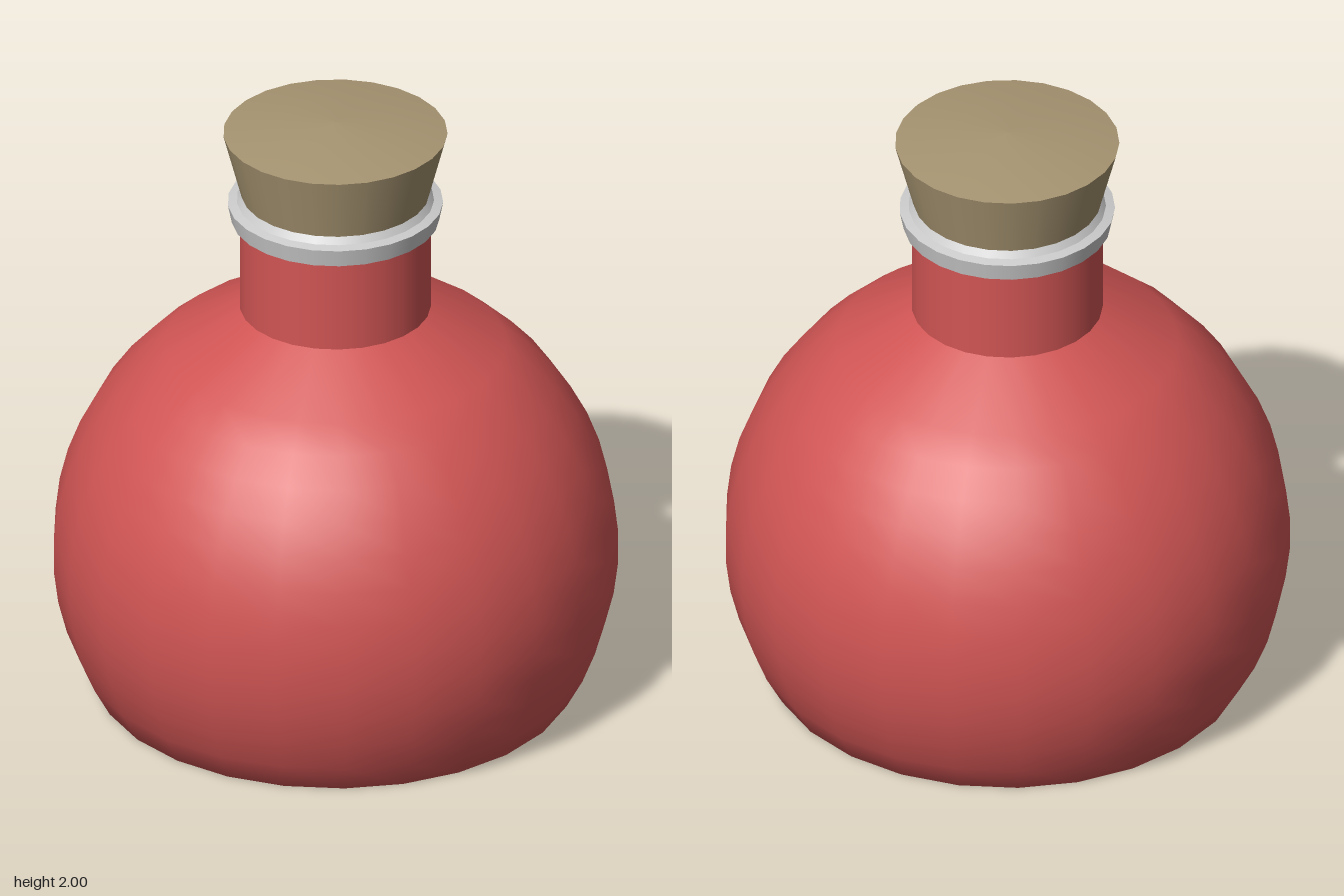
import * as THREE from 'three';

const SIDES = 25;

// Revolve a bottom-to-top profile of [radius, y], with one corner on +x
function turned(name, profile, color) {
  const points = profile.map(([r, y]) => new THREE.Vector2(r, y));
  const geometry = new THREE.LatheGeometry(points, SIDES, Math.PI / 2);
  const material = new THREE.MeshStandardMaterial({ color, side: THREE.DoubleSide });
  const mesh = new THREE.Mesh(geometry, material);
  mesh.name = name;
  return mesh;
}

export function createModel() {
  const group = new THREE.Group();
  group.name = 'flask';
  const red = 0xd05554, grey = 0xcccccc, tan = 0xa69471;

  // Round belly: flat base, spherical wall, sloping shoulder
  const R = 0.9036, CY = 0.48;
  const a0 = -Math.asin(CY / R), a1 = Math.asin((1.2 - CY) / R);
  const belly = [[0, 0], [0.7, 0]];
  for (let i = 0; i <= 12; i++) {
    const a = a0 + (a1 - a0) * i / 12;
    belly.push([R * Math.cos(a), CY + R * Math.sin(a)]);
  }
  belly.push([0.305, 1.34]);
  group.add(turned('belly', belly, red));

  // Straight neck
  group.add(turned('neck', [[0.305, 1.34], [0.305, 1.7]], red));

  // Collar ring, one band per face to keep its edges sharp
  const collar = new THREE.Group();
  collar.name = 'collar';
  const ring = [[0.28, 1.655], [0.332, 1.655], [0.344, 1.715], [0.315, 1.722], [0.3, 1.745], [0.27, 1.745]];
  for (let i = 0; i < ring.length - 1; i++) {
    collar.add(turned('collarBand' + (i + 1), [ring[i], ring[i + 1]], grey));
  }
  group.add(collar);

  // Tapered cork with a slightly domed top
  const cork = new THREE.Group();
  cork.name = 'cork';
  cork.add(turned('corkSide', [[0.278, 1.66], [0.358, 1.963]], tan));
  cork.add(turned('corkTop', [[0.358, 1.963], [0.18, 1.99], [0, 2]], tan));
  group.add(cork);

  // Odd side count: nudge so the outline is centred on x
  group.children.forEach((part) => { part.position.x = -0.0036; });
  return group;
}
